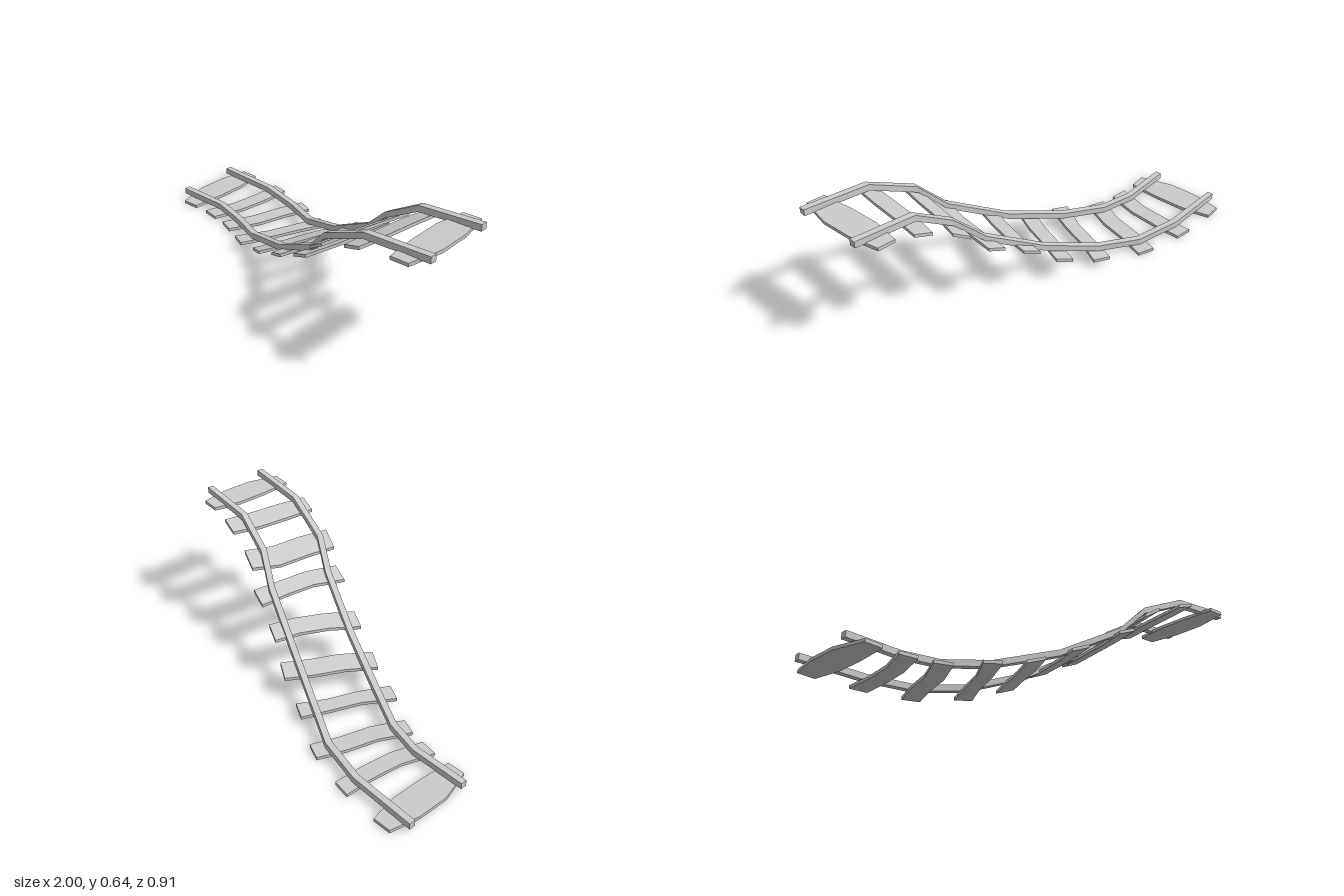
import * as THREE from 'three';

const material = new THREE.MeshStandardMaterial({ color: 0xcccccc, flatShading: true });

// Joins four-cornered cross-sections into a closed solid with flat faces.
function loft(name, sections) {
  const positions = [];
  const quad = (a, b, c, d) => [a, b, c, a, c, d].forEach((p) => positions.push(p.x, p.y, p.z));
  for (let i = 0; i < sections.length - 1; i++) {
    const s = sections[i], t = sections[i + 1];
    for (let k = 0; k < 4; k++) quad(s[k], s[(k + 1) % 4], t[(k + 1) % 4], t[k]);
  }
  const first = sections[0], last = sections[sections.length - 1];
  quad(first[0], first[3], first[2], first[1]);
  quad(last[0], last[1], last[2], last[3]);
  const geometry = new THREE.BufferGeometry();
  geometry.setAttribute('position', new THREE.Float32BufferAttribute(positions, 3));
  geometry.computeVertexNormals();
  const mesh = new THREE.Mesh(geometry, material);
  mesh.name = name;
  return mesh;
}

// Cross-section on bottom centre c, heading d (in plan), with a tilt across its width.
function section(c, d, width, height, rise = 0) {
  const u = new THREE.Vector3(d.z, 0, -d.x).normalize().multiplyScalar(width / 2);
  u.y = rise / 2;
  const up = new THREE.Vector3(0, height, 0);
  const right = c.clone().add(u), left = c.clone().sub(u);
  return [left, right, right.clone().add(up), left.clone().add(up)];
}

// Rail: a square bar swept along a bent path of [x, y, z] bottom centres.
function rail(name, path) {
  const pts = path.map((p) => new THREE.Vector3(...p));
  return loft(name, pts.map((p, i) => {
    const d = new THREE.Vector3();
    if (i > 0) d.add(p.clone().sub(pts[i - 1]).setY(0).normalize());
    if (i < pts.length - 1) d.add(pts[i + 1].clone().sub(p).setY(0).normalize());
    return section(p, d, 0.031, 0.031);
  }));
}

// Sleeper: a crooked plank from its back end to its front end.
function sleeper([xb, yb, zb, xf, yf, zf, bendBack, bendFront, midWidth, rise]) {
  const back = new THREE.Vector3(xb, yb, zb), front = new THREE.Vector3(xf, yf, zf);
  const d = front.clone().sub(back);
  const endWidth = 0.089;
  const stations = [[0, 0, endWidth], [0.31, bendBack, midWidth], [0.65, bendFront, midWidth], [1, 0, endWidth]];
  return loft('sleeper', stations.map(([t, bend, width]) => {
    const c = back.clone().lerp(front, t);
    c.x += bend;
    c.y += bend * rise / endWidth;
    return section(c, d, width, 0.016, rise * width / endWidth);
  }));
}

export function createModel() {
  const track = new THREE.Group();
  track.name = 'railTrack';

  track.add(rail('backRail', [
    [-1, 0.02, -0.38], [-0.66, 0.02, -0.38], [-0.42, 0.02, -0.33], [-0.21, 0.05, -0.235],
    [0.07, 0.16, -0.13], [0.36, 0.33, -0.035], [0.5, 0.465, 0.025], [0.69, 0.58, 0.05], [1, 0.614, 0.057],
  ]));
  track.add(rail('frontRail', [
    [-0.98, 0.02, -0.055], [-0.7, 0.02, -0.065], [-0.52, 0.02, -0.025], [-0.31, 0.05, 0.065],
    [0, 0.16, 0.175], [0.3, 0.33, 0.28], [0.43, 0.465, 0.335], [0.67, 0.58, 0.37], [1, 0.614, 0.382],
  ]));

  // Back end, front end, bends, middle width and rise across the plank.
  const sleepers = [
    [-0.906, 0, -0.46, -0.877, 0, 0.011, -0.005, -0.011, 0.147, 0],
    [-0.647, 0, -0.452, -0.709, 0, 0.013, 0.019, 0.025, 0.085, 0],
    [-0.396, 0.002, -0.398, -0.551, 0.002, 0.043, 0, 0.016, 0.09, 0.002],
    [-0.168, 0.035, -0.297, -0.356, 0.035, 0.134, 0, 0.012, 0.075, 0.009],
    [0.035, 0.115, -0.23, -0.158, 0.085, 0.195, 0, 0.01, 0.09, 0.029],
    [0.193, 0.222, -0.166, 0.053, 0.185, 0.265, 0.018, 0.018, 0.085, 0.036],
    [0.369, 0.315, -0.115, 0.286, 0.317, 0.348, 0.013, 0.02, 0.083, 0.037],
    [0.521, 0.443, -0.056, 0.422, 0.443, 0.396, -0.016, -0.004, 0.095, 0.056],
    [0.711, 0.546, -0.032, 0.647, 0.546, 0.43, -0.008, -0.003, 0.1, 0.031],
    [0.893, 0.592, -0.021, 0.89, 0.592, 0.444, 0.003, 0.008, 0.143, 0.006],
  ];
  sleepers.forEach((s) => track.add(sleeper(s)));
  return track;
}
